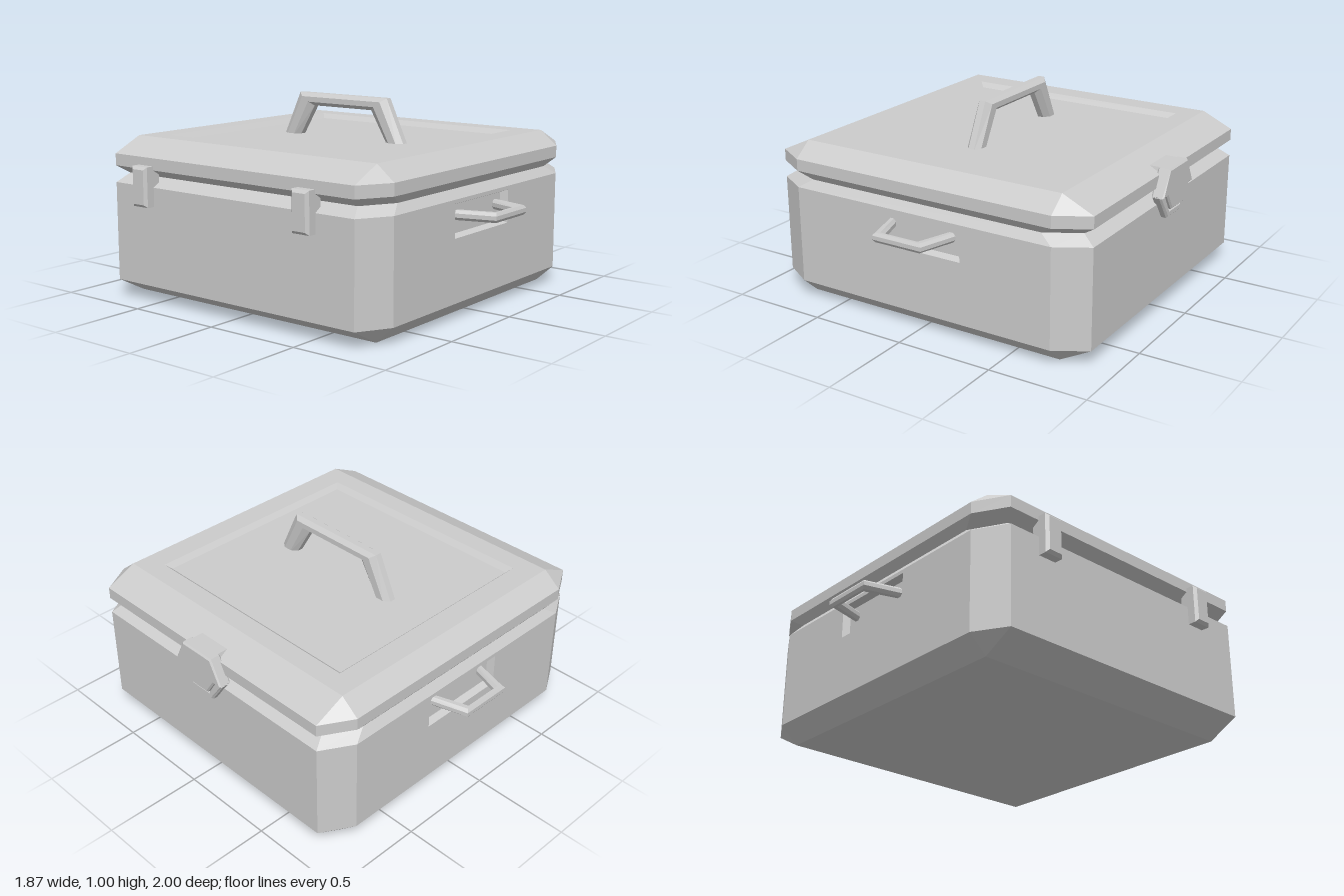
import * as THREE from 'three';

const material = new THREE.MeshStandardMaterial({ color: 0xcccccc, flatShading: true });

// Collects flat quads (corners counter-clockwise from outside) into one geometry
function quadBuilder() {
  const pos = [];
  const tri = (a, b, c) => {
    if (a.distanceTo(b) > 1e-5 && b.distanceTo(c) > 1e-5 && c.distanceTo(a) > 1e-5) {
      for (const p of [a, b, c]) pos.push(p.x, p.y, p.z);
    }
  };
  return {
    quad(a, b, c, d) { tri(a, b, c); tri(a, c, d); },
    mesh(name) {
      const g = new THREE.BufferGeometry();
      g.setAttribute('position', new THREE.Float32BufferAttribute(pos, 3));
      g.computeVertexNormals();
      return named(g, name);
    },
  };
}

function named(geometry, name) {
  const m = new THREE.Mesh(geometry, material);
  m.name = name;
  return m;
}

const V = (x, y, z) => new THREE.Vector3(x, y, z);

// Eight-cornered cross-section: outer half sizes X, Z and where the corner cuts start
function section([y, X, Z, xi, zi]) {
  return [[-xi, Z], [xi, Z], [X, zi], [X, -zi], [xi, -Z], [-xi, -Z], [-X, -zi], [-X, zi]]
    .map(([x, z]) => V(x, y, z));
}

// Face with a sunken rectangle; each step is [halfU, halfV, centreV, depth]
function recessedFace(b, steps, place) {
  const rings = steps.map(([u, v, c, d]) =>
    [[-u, -v], [u, -v], [u, v], [-u, v]].map(([p, q]) => place(p, q + c, d)));
  for (let r = 0; r < rings.length - 1; r++) {
    for (let i = 0; i < 4; i++) {
      const j = (i + 1) % 4;
      b.quad(rings[r][i], rings[r][j], rings[r + 1][j], rings[r + 1][i]);
    }
  }
  b.quad(...rings[rings.length - 1]);
}

function buildBody() {
  const b = quadBuilder();
  const rings = [
    [0, 0.72, 0.752, 0.72, 0.752],
    [0.085, 0.88, 0.845, 0.72, 0.752],
    [0.585, 0.88, 0.845, 0.72, 0.752],
    [0.628, 0.815, 0.812, 0.65, 0.72], // groove between box and lid
    [0.67, 0.88, 0.845, 0.72, 0.752],
    [0.73, 0.88, 0.845, 0.72, 0.752],
    [0.805, 0.72, 0.752, 0.72, 0.752],
  ].map(section);
  for (let r = 0; r < rings.length - 1; r++) {
    for (let i = 0; i < 8; i++) {
      if (r === 1 && i % 4 === 0) continue; // front and back faces carry recesses
      const j = (i + 1) % 8;
      b.quad(rings[r][i], rings[r][j], rings[r + 1][j], rings[r + 1][i]);
    }
  }
  // Underside
  b.quad(V(-0.72, 0, -0.752), V(0.72, 0, -0.752), V(0.72, 0, 0.752), V(-0.72, 0, 0.752));
  // Lid panel
  recessedFace(b, [[0.72, 0.752, 0, 0], [0.615, 0.63, 0, 0], [0.587, 0.605, 0, 0.025]],
    (u, v, d) => V(u, 0.805 - d, -v));
  // Handle pockets, front and back
  for (const s of [1, -1]) {
    recessedFace(b, [[0.72, 0.25, 0.335, 0], [0.237, 0.083, 0.483, 0], [0.222, 0.07, 0.483, 0.035]],
      (u, v, d) => V(s * u, v, s * (0.845 - d)));
  }
  const m = b.mesh('caseBody');
  m.position.z = -0.007;
  return m;
}

// Bent eight-sided bar: [outer, inner] edge points per station, mirrored across u = 0
function bentHandle(name, half, halfWidth, place) {
  const mirrored = half.map((pair) => pair.map(([u, v]) => [-u, v])).reverse();
  const k = 1 / Math.cos(Math.PI / 8);
  const rings = [...half, ...mirrored].map(([o, n]) => {
    const ring = [];
    for (let i = 0; i < 8; i++) {
      const a = (i + 0.5) * Math.PI / 4, t = 0.5 + 0.5 * k * Math.cos(a);
      ring.push(place(n[0] + (o[0] - n[0]) * t, n[1] + (o[1] - n[1]) * t, k * halfWidth * Math.sin(a)));
    }
    return ring;
  });
  const b = quadBuilder();
  for (let r = 0; r < rings.length - 1; r++) {
    for (let i = 0; i < 8; i++) {
      const j = (i + 1) % 8;
      b.quad(rings[r][i], rings[r][j], rings[r + 1][j], rings[r + 1][i]);
    }
  }
  return b.mesh(name);
}

// Outline in (z, y), extruded along x between x0 and x1 with a small chamfer
function plateAlongX(name, points, x0, x1, chamfer) {
  const shape = new THREE.Shape(points.map(([z, y]) => new THREE.Vector2(-z, y)));
  const g = new THREE.ExtrudeGeometry(shape, {
    depth: x1 - x0 - 2 * chamfer, bevelEnabled: chamfer > 0, bevelSize: chamfer,
    bevelThickness: chamfer, bevelOffset: -chamfer, bevelSegments: 1,
  });
  g.translate(0, 0, chamfer).rotateY(Math.PI / 2).translate(x0, 0, 0);
  return named(g, name);
}

function buildLatch() {
  const latch = new THREE.Group();
  latch.name = 'latch';
  latch.add(
    plateAlongX('latchPlate', [[0.1, 0.76], [0.165, 0.63], [0.115, 0.63], [0.062, 0.55],
      [-0.062, 0.55], [-0.115, 0.63], [-0.165, 0.63], [-0.1, 0.76]], 0.865, 0.93, 0.008),
    plateAlongX('latchMount', [[0.09, 0.76], [0.11, 0.69], [-0.11, 0.69], [-0.09, 0.76]], 0.8, 0.9, 0),
    // Lower catch wrapping under the plate
    plateAlongX('latchCatch', [[0.165, 0.635], [0.075, 0.505], [-0.075, 0.505], [-0.165, 0.635],
      [-0.11, 0.635], [-0.055, 0.545], [0.055, 0.545], [0.11, 0.635]], 0.865, 0.915, 0.01),
  );
  latch.position.z = -0.007;
  return latch;
}

export function createModel() {
  const model = new THREE.Group();
  model.name = 'carryCase';
  model.add(buildBody());

  // Top carrying handle, running front to back
  model.add(bentHandle('topHandle',
    [[[0.39, 0.765], [0.285, 0.765]], [[0.28, 1], [0.184, 0.935]]], 0.039,
    (u, v, w) => V(w, v, u)));

  // Side handles in the front and back pockets
  for (const s of [1, -1]) {
    model.add(bentHandle(s > 0 ? 'frontHandle' : 'backHandle',
      [[[0.197, 0.79], [0.152, 0.79]], [[0.138, 1], [0.092, 0.967]]], 0.024,
      (u, v, w) => V(s * u, 0.5 + w, s * v)));
  }

  model.add(buildLatch());

  // Hinges
  for (const z of [-0.54, 0.48]) {
    const hinge = plateAlongX('hinge',
      [[-0.05, 0.49], [-0.05, 0.69], [0.05, 0.69], [0.05, 0.49]], -0.935, -0.83, 0.014);
    hinge.position.z = z;
    model.add(hinge);
  }
  return model;
}
